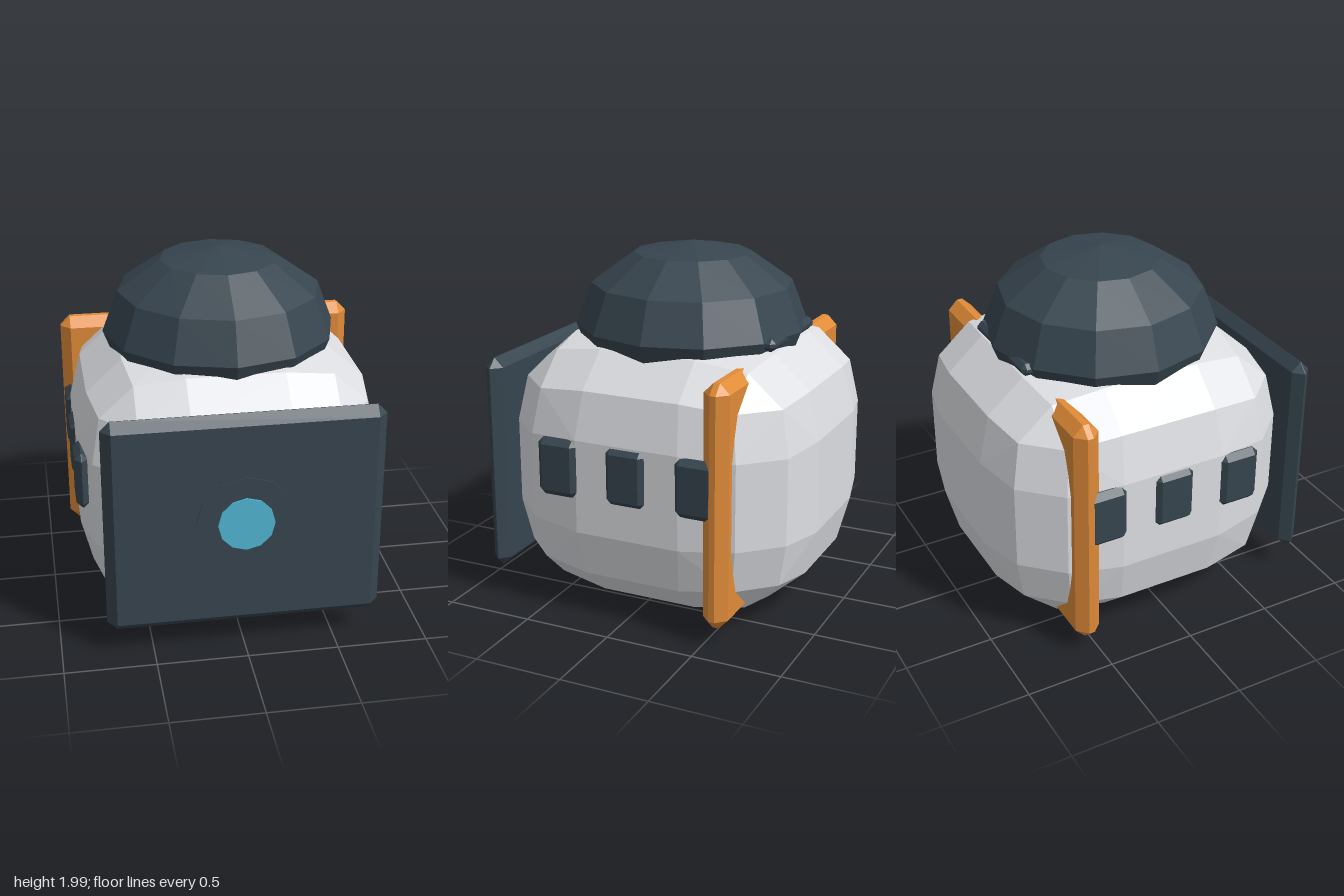
import * as THREE from 'three';
import { ConvexGeometry } from 'three/addons/geometries/ConvexGeometry.js';

function material(name, color) {
  const m = new THREE.MeshStandardMaterial({ color, flatShading: true });
  m.name = name;
  return m;
}

// Box with every edge chamfered by c
function chamferBox(w, h, d, c) {
  const points = [];
  for (const x of [-w / 2, w / 2])
    for (const y of [-h / 2, h / 2])
      for (const z of [-d / 2, d / 2]) {
        const ix = x - Math.sign(x) * c, iy = y - Math.sign(y) * c, iz = z - Math.sign(z) * c;
        points.push(new THREE.Vector3(x, iy, iz), new THREE.Vector3(ix, y, iz), new THREE.Vector3(ix, iy, z));
      }
  return new ConvexGeometry(points);
}

// Faceted rounded cube: a 4 x 4 grid on each side pushed out to a superellipsoid
function roundedBody(rx, ry, rz) {
  const power = 3.5, grid = [-0.743, -0.345, 0.345, 0.743], points = [];
  for (const u of grid) for (const v of grid) for (const s of [-1, 1])
    for (const [x, y, z] of [[s, u, v], [u, s, v], [u, v, s]]) {
      const sum = Math.abs(x) ** power + Math.abs(y) ** power + Math.abs(z) ** power;
      const k = 1.0135 / sum ** (1 / power);
      points.push(new THREE.Vector3(x * rx * k, y * ry * k, z * rz * k));
    }
  return new ConvexGeometry(points);
}

export function createModel() {
  const group = new THREE.Group();
  const shell = material('pale grey', 0xdcdee2);
  const dark = material('dark slate', 0x37454f);
  const orange = material('orange', 0xe08b38);
  const cyan = material('cyan', 0x52b9d5);

  const add = (name, geometry, mat, x, y, z) => {
    const mesh = new THREE.Mesh(geometry, mat);
    mesh.name = name;
    mesh.position.set(x, y, z);
    group.add(mesh);
    return mesh;
  };

  add('body', roundedBody(0.84, 0.765, 0.88), shell, 0, 0.77, -0.04);

  // Flattened dome and the bar behind its rim
  add('dome', new THREE.SphereGeometry(0.655, 12, 6).scale(1, 0.46 / 0.655, 1), dark, 0, 1.54, -0.04);
  add('rimBar', chamferBox(0.62, 0.07, 0.12, 0.025), dark, 0, 1.525, -0.6);

  // Front plate with its round emblem-free lamp
  add('frontPlate', chamferBox(1.5, 1.24, 0.11, 0.053), dark, 0, 0.77, 0.843);
  const disc = (r) => new THREE.CylinderGeometry(r, r, 0.009, 12).rotateX(Math.PI / 2);
  add('lampRing', disc(0.272), dark, 0, 0.775, 0.901);
  add('lamp', disc(0.153), cyan, 0, 0.775, 0.91);

  // Orange slab running through the rear of the body
  add('rearBand', chamferBox(1.74, 1.355, 0.145, 0.056), orange, 0, 0.7725, -0.553);

  // Three windows on each side
  const pane = chamferBox(0.075, 0.33, 0.243, 0.035);
  for (const side of [-1, 1])
    for (const z of [0.37, -0.038, -0.443])
      add(side > 0 ? 'leftWindow' : 'rightWindow', pane, dark, side * 0.829, 0.865, z);

  return group;
}
